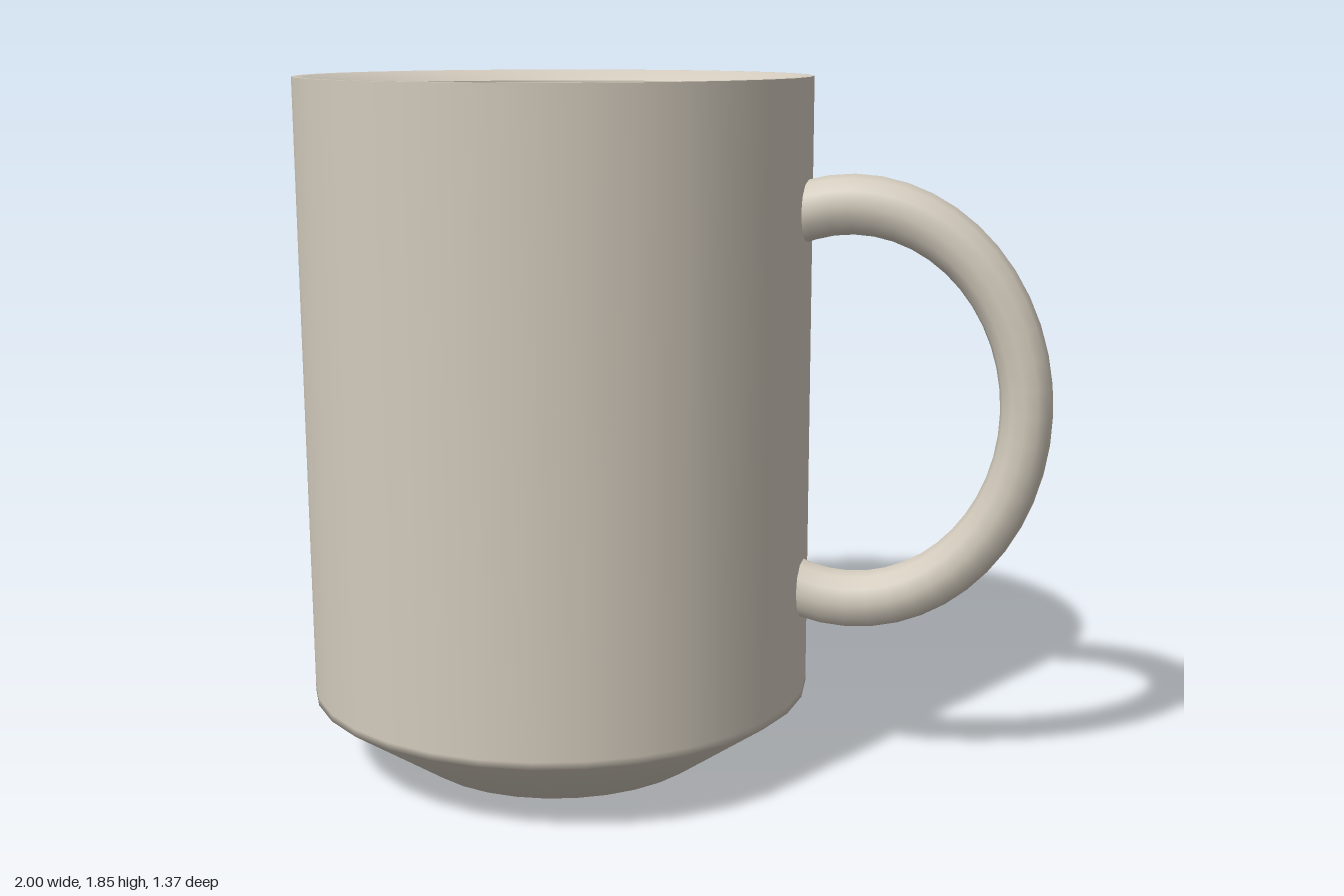
import * as THREE from 'three';

const ceramic = new THREE.MeshStandardMaterial({ color: 0xd2cabc });
ceramic.name = 'warm grey ceramic';

// Spins a profile; points run bottom to top outside, top to bottom inside
function lathe(name, profile) {
  const points = profile.map(([r, y]) => new THREE.Vector2(r, y));
  const mesh = new THREE.Mesh(new THREE.LatheGeometry(points, 32), ceramic);
  mesh.name = name;
  return mesh;
}

export function createModel() {
  const model = new THREE.Group();
  model.name = 'mug';

  // Cup: outer shell with chamfered foot, crisp rim, smooth inner bowl
  const cup = new THREE.Group();
  cup.name = 'cup';
  cup.position.x = -0.32;
  cup.scale.z = 1.01;
  cup.add(
    lathe('outerShell', [[0, 0], [0.41, 0], [0.68, 0.19], [0.68, 0.21], [0.68, 1.85]]),
    lathe('rim', [[0.68, 1.85], [0.65, 1.85], [0.61, 1.82]]),
    lathe('innerShell', [[0.61, 1.82], [0.61, 0.25], [0.61, 0.23], [0.38, 0.07], [0, 0.07]])
  );
  model.add(cup);

  // Handle: a full ring, slightly taller than wide, passing through the wall
  const handle = new THREE.Mesh(new THREE.TorusGeometry(0.453, 0.067, 12, 48), ceramic);
  handle.name = 'handle';
  handle.position.set(0.48, 1.005, 0);
  handle.scale.y = 1.16;
  model.add(handle);

  return model;
}
